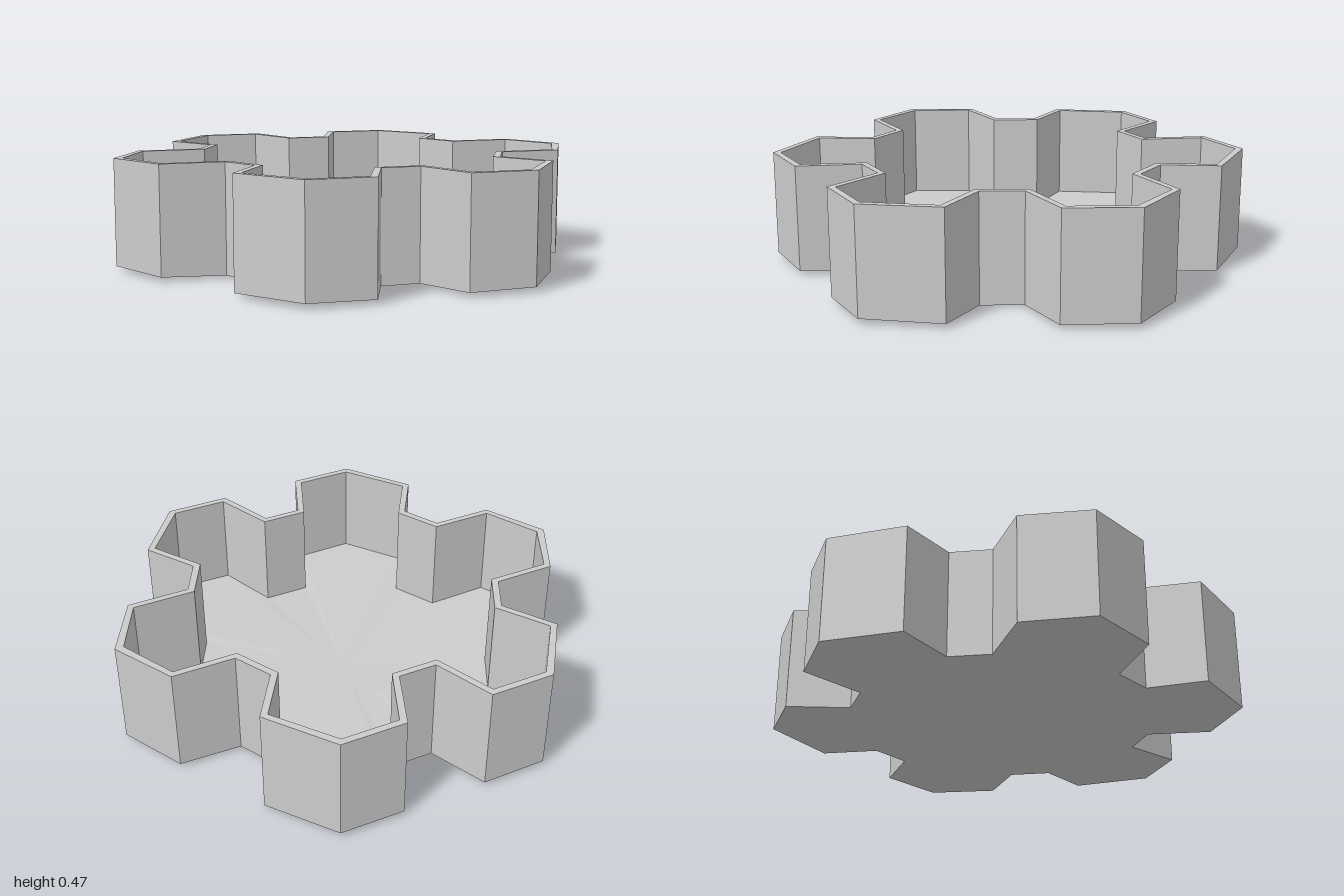
import * as THREE from 'three';

// One quarter of each outline as [x, z], from the +x tip round to the front notch
const OUTER = [[1, 0], [0.86, 0.262], [0.598, 0.262], [0.517, 0.417], [0.65, 0.625], [0.453, 0.893], [0.18, 0.893], [0.08, 0.642]];
const INNER = [[0.963, 0], [0.845, 0.235], [0.58, 0.235], [0.484, 0.417], [0.617, 0.625], [0.436, 0.865], [0.2, 0.865], [0.098, 0.615]];

const TOP = 0.466;
const FLOOR = 0.037;
const dish = (x, z) => 0.022 * (x * x + z * z); // underside rises gently to the rim

// Mirror the quarter into a full closed outline
function fullOutline(quarter) {
  const half = [...quarter, ...quarter.map(([x, z]) => [-x, z]).reverse()];
  const back = half.slice(1, -1).map(([x, z]) => [x, -z]).reverse();
  return [...half, ...back];
}

// Skin successive rings of equal length with flat quads
function skin(rings) {
  const pos = [];
  for (let r = 0; r < rings.length - 1; r++) {
    const lo = rings[r], hi = rings[r + 1], n = lo.length;
    for (let i = 0; i < n; i++) {
      const j = (i + 1) % n;
      if (r < rings.length - 2) pos.push(...lo[i], ...hi[i], ...hi[j]);
      if (r > 0) pos.push(...lo[i], ...hi[j], ...lo[j]);
    }
  }
  const geo = new THREE.BufferGeometry();
  geo.setAttribute('position', new THREE.Float32BufferAttribute(pos, 3));
  geo.computeVertexNormals();
  return geo;
}

export function createModel() {
  const group = new THREE.Group();
  group.name = 'snowflakeTray';
  const outer = fullOutline(OUTER);
  const inner = fullOutline(INNER);
  const ring = (outline, height) => outline.map(([x, z]) => [x, height(x, z), z]);
  const centre = (y) => outer.map(() => [0, y, 0]);

  // Underside, outer wall, rim, inner wall and floor in one closed shell
  const tray = new THREE.Mesh(
    skin([
      centre(0),
      ring(outer, dish),
      ring(outer, () => TOP),
      ring(inner, () => TOP),
      ring(inner, (x, z) => FLOOR + dish(x, z)),
      centre(FLOOR),
    ]),
    new THREE.MeshStandardMaterial({ color: 0xcccccc, flatShading: true })
  );
  tray.name = 'tray';
  group.add(tray);
  return group;
}
